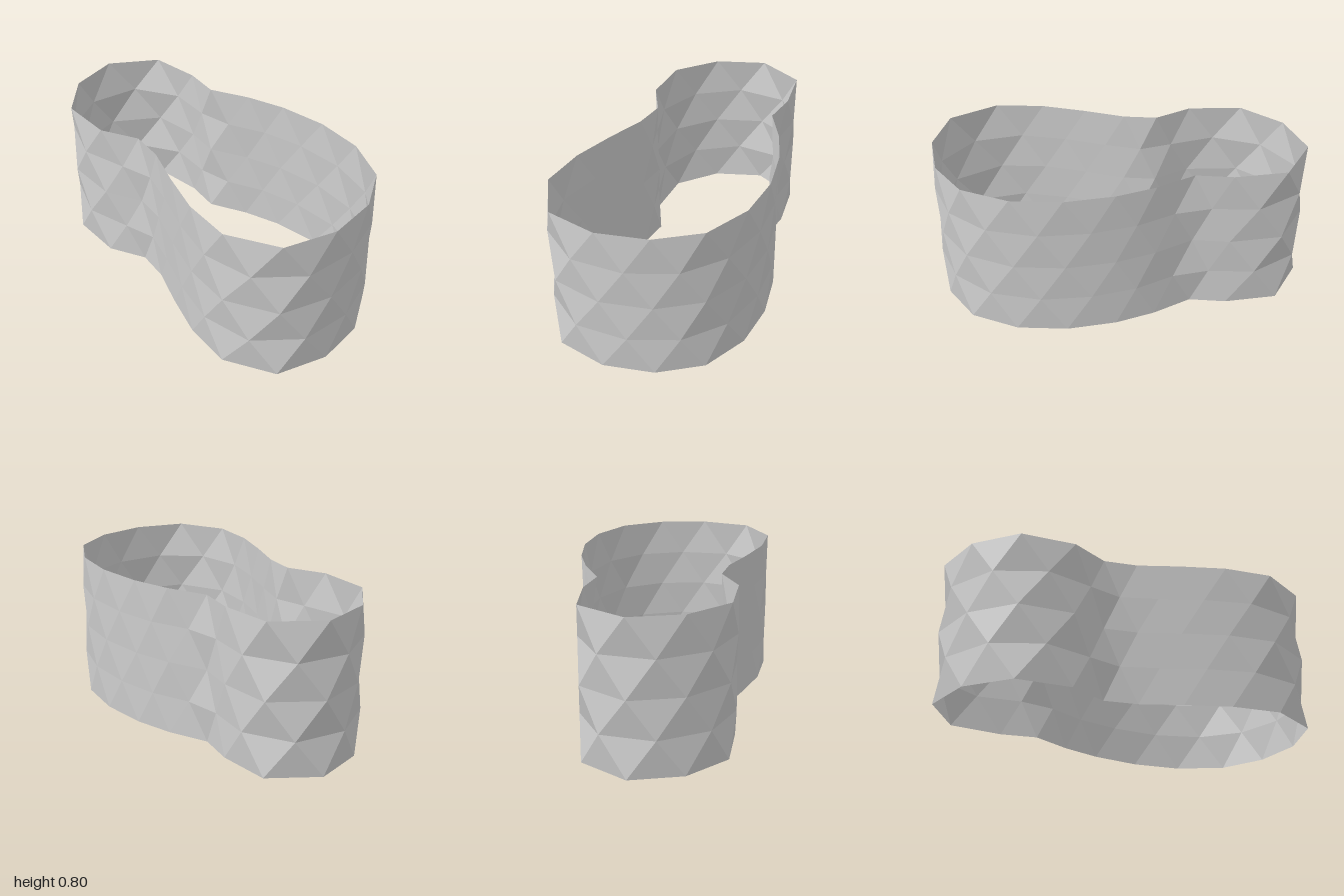
import * as THREE from 'three';

const HEIGHT = 0.8, ROWS = 4;

// Kidney-shaped outline seen from above, as [x, z], anticlockwise from the small lobe's tip
const OUTLINE = [
  [-1, 0.022], [-0.905, 0.288], [-0.69, 0.465], [-0.4, 0.458], [-0.21, 0.348],
  [-0.03, 0.363], [0.19, 0.43], [0.43, 0.49], [0.69, 0.5], [0.935, 0.347],
  [0.995, 0.075], [0.937, -0.185], [0.785, -0.392], [0.537, -0.495], [0.272, -0.506],
  [0.015, -0.455], [-0.188, -0.375], [-0.385, -0.262], [-0.582, -0.28], [-0.86, -0.235],
];

// Open wall of staggered triangles: every other ring is shifted half a step along the outline
function wallGeometry() {
  const n = OUTLINE.length;
  const curve = new THREE.CatmullRomCurve3(
    OUTLINE.map(([x, z]) => new THREE.Vector3(x, 0, z)), true, 'catmullrom', 0.5);
  const positions = [], index = [];
  const point = new THREE.Vector3();

  for (let r = 0; r <= ROWS; r++) {
    for (let i = 0; i < n; i++) {
      curve.getPoint((i + (r % 2) * 0.5) / n, point);
      positions.push(point.x, (HEIGHT * r) / ROWS, point.z);
    }
  }

  for (let r = 0; r < ROWS; r++) {
    for (let i = 0; i < n; i++) {
      const j = (i + 1) % n;
      const a = r * n + i, b = r * n + j;              // lower ring
      const c = (r + 1) * n + i, d = (r + 1) * n + j;  // upper ring
      if (r % 2 === 0) index.push(a, b, c, b, d, c);
      else index.push(a, b, d, a, d, c);
    }
  }

  const geometry = new THREE.BufferGeometry();
  geometry.setAttribute('position', new THREE.Float32BufferAttribute(positions, 3));
  geometry.setIndex(index);
  const faceted = geometry.toNonIndexed();
  faceted.computeVertexNormals();
  return faceted;
}

export function createModel() {
  const group = new THREE.Group();
  group.name = 'facetedBand';
  const wall = new THREE.Mesh(wallGeometry(), new THREE.MeshStandardMaterial({
    color: 0xcccccc, flatShading: true, side: THREE.DoubleSide,
  }));
  wall.name = 'wall';
  group.add(wall);
  return group;
}
